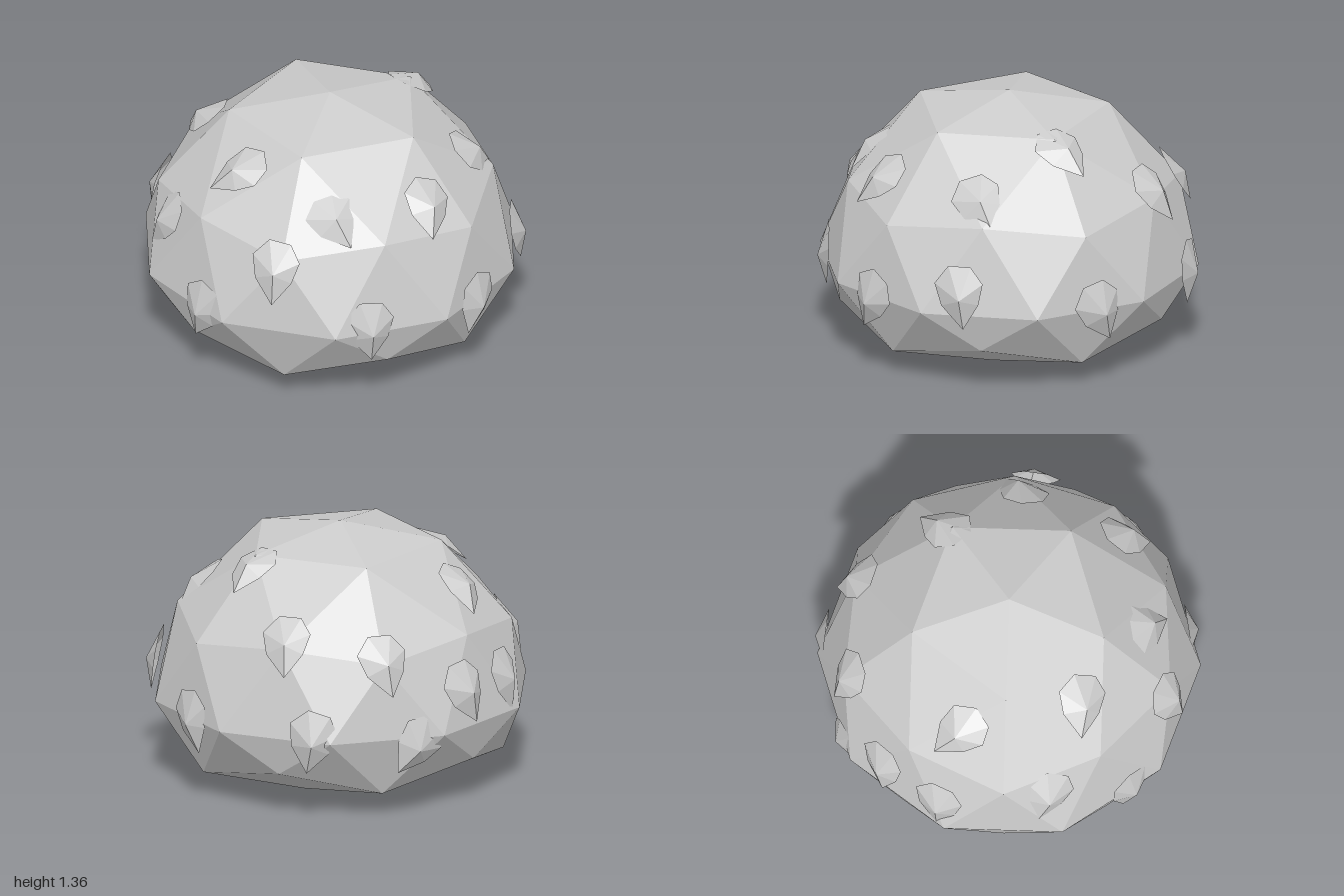
import * as THREE from 'three';

const CENTER_Y = 0.45;
const TOP_HEIGHT = 0.91;

// Ring heights of the boulder: unit-sphere height -> final height
const LEVELS = [
  [1, 1.36], [0.8507, 1.262], [0.5257, 0.905], [0.4472, 0.842], [0, 0.452],
  [-0.4472, 0.24], [-0.5257, 0.13], [-0.8507, 0.05], [-1, 0],
];

// Flake outline: rounded top, pointed bottom
const OUTLINE = [[0.01, -0.19], [0.1, -0.06], [0.13, 0.05], [0.07, 0.14], [-0.05, 0.15], [-0.13, 0.06], [-0.1, -0.06]];

// Flakes: x, y, z, roll
const FLAKES = [
  [-0.16, 1.14, 0.61, -0.6], [0.41, 1.03, 0.59, 0.5], [-0.57, 0.76, 0.70, -0.4],
  [0.24, 0.80, 0.88, 0], [-0.18, 0.46, 0.95, -0.3], [0.70, 0.48, 0.66, 0],
  [0.75, 1.03, 0.19, -0.4], [0.97, 0.45, 0.05, -0.4], [-0.67, 1.10, 0.19, -0.6],
  [0.62, 1.02, -0.40, 0.5], [0.85, 0.58, -0.49, 0.1], [0.15, 1.22, -0.55, 0.2],
  [-0.28, 0.95, -0.80, 0.1], [0.25, 0.46, -0.94, 0.3], [-0.50, 0.47, -0.85, -0.2],
  [-0.72, 0.86, -0.52, 0.1], [-0.88, 0.42, -0.42, -0.7], [-0.95, 0.66, -0.12, 0.2],
  [-0.93, 0.64, 0.24, 0],
];

// Faceted boulder: pole-up icosphere with a flattened underside
function boulderGeometry() {
  const geo = new THREE.IcosahedronGeometry(1, 1);
  geo.rotateZ(-Math.atan(2 / (1 + Math.sqrt(5))));
  const pos = geo.attributes.position;
  for (let i = 0; i < pos.count; i++) {
    const y = pos.getY(i);
    const level = LEVELS.reduce((a, b) => (Math.abs(b[0] - y) < Math.abs(a[0] - y) ? b : a));
    pos.setY(i, level[1]);
  }
  geo.translate(-0.005, 0, 0);
  geo.computeVertexNormals();
  return geo;
}

// Low pyramid over the outline, its peak nearer the pointed end
function flakeGeometry() {
  const verts = [];
  OUTLINE.forEach(([x, y], i) => {
    const [x2, y2] = OUTLINE[(i + 1) % OUTLINE.length];
    verts.push(0.01, -0.03, 0.035, x, y, -0.02, x2, y2, -0.02);
  });
  const geo = new THREE.BufferGeometry();
  geo.setAttribute('position', new THREE.Float32BufferAttribute(verts, 3));
  geo.computeVertexNormals();
  return geo;
}

export function createModel() {
  const group = new THREE.Group();
  group.name = 'boulder';
  const stone = new THREE.MeshStandardMaterial({ color: 0xcccccc, flatShading: true });
  const thin = new THREE.MeshStandardMaterial({ color: 0xcccccc, flatShading: true, side: THREE.DoubleSide });

  const body = new THREE.Mesh(boulderGeometry(), stone);
  body.name = 'body';
  group.add(body);

  // Flakes lying on the surface, points turned downhill
  const flakes = new THREE.Group();
  flakes.name = 'flakes';
  const geo = flakeGeometry();
  FLAKES.forEach(([x, y, z, roll], i) => {
    const n = new THREE.Vector3(x, (y - CENTER_Y) / TOP_HEIGHT ** 2, z).normalize();
    const right = new THREE.Vector3(0, 1, 0).cross(n).normalize();
    const up = n.clone().cross(right);
    const flake = new THREE.Mesh(geo, thin);
    flake.name = `flake${i + 1}`;
    flake.quaternion.setFromRotationMatrix(new THREE.Matrix4().makeBasis(right, up, n));
    flake.rotateZ(roll);
    flake.position.set(x, y, z);
    flakes.add(flake);
  });
  group.add(flakes);
  return group;
}
